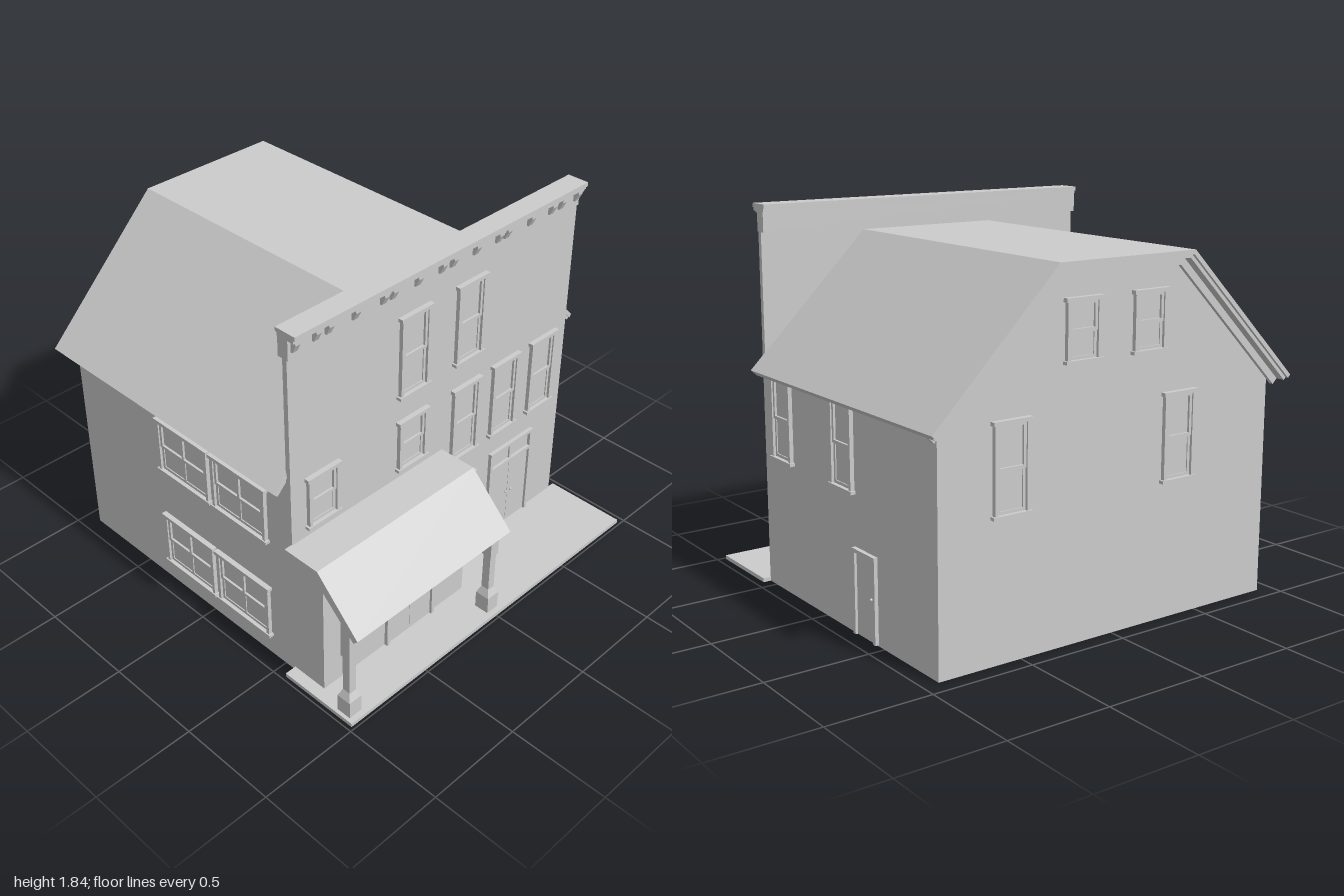
import * as THREE from 'three';

const grey = new THREE.MeshStandardMaterial({ color: 0xcccccc, flatShading: true, side: THREE.DoubleSide });

function add(parent, name, geometry) {
  const m = new THREE.Mesh(geometry, grey);
  m.name = name;
  parent.add(m);
  return m;
}

// Box given by its limits on each axis
function box(parent, name, x0, x1, y0, y1, z0, z1) {
  const g = new THREE.BoxGeometry(x1 - x0, y1 - y0, z1 - z0);
  g.translate((x0 + x1) / 2, (y0 + y1) / 2, (z0 + z1) / 2);
  return add(parent, name, g);
}

// Outline in x,y pushed from z0 to z1
function slab(parent, name, pts, z0, z1) {
  const s = new THREE.Shape(pts.map(p => new THREE.Vector2(...p)));
  const g = new THREE.ExtrudeGeometry(s, { depth: z1 - z0, bevelEnabled: false });
  return add(parent, name, g.translate(0, 0, z0));
}

// Outline in z,y pushed from x0 to x1
function bar(parent, name, pts, x0, x1) {
  const m = slab(parent, name, pts, 0, x1 - x0);
  m.geometry.rotateY(-Math.PI / 2).translate(x1, 0, 0);
  return m;
}

// Sash window: origin at the middle of the sill on the wall, facing local +z
function makeWindow(w, h, mullion) {
  const g = new THREE.Group();
  g.name = 'window';
  const a = w / 2, c = a - 0.01, e = c - 0.016, back = -0.03, mid = h / 2;
  box(g, 'windowHead', -a, a, h - 0.018, h, back, 0.026);
  box(g, 'windowSill', -a, a, 0, 0.015, back, 0.026);
  for (const s of [-1, 1]) {
    box(g, 'windowCasing', Math.min(s * c, s * e), Math.max(s * c, s * e), 0.015, h - 0.018, back, 0.02);
  }
  // upper sash stands in front of the lower one
  for (const [y0, y1, d] of [[mid - 0.008, h - 0.018, 0.013], [0.015, mid, 0.007]]) {
    box(g, 'sashRail', -e, e, y0, y0 + 0.014, back + 0.005, d);
    box(g, 'sashRail', -e, e, y1 - 0.014, y1, back + 0.005, d);
    box(g, 'sashStile', -e, -e + 0.014, y0, y1, back + 0.005, d);
    box(g, 'sashStile', e - 0.014, e, y0, y1, back + 0.005, d);
    if (mullion) box(g, 'mullion', -0.006, 0.006, y0, y1, back + 0.005, d);
  }
  box(g, 'glass', -e, e, 0.015, h - 0.018, back + 0.01, 0.002);
  return g;
}

// Door: origin at the middle of the threshold, facing local +z
function makeDoor(w, h, knobs, leaves, transomTop) {
  const g = new THREE.Group();
  g.name = 'door';
  const a = w / 2, t = 0.018, top = transomTop || h;
  box(g, 'doorCasing', -a, -a + t, 0, top, -0.03, 0.018);
  box(g, 'doorCasing', a - t, a, 0, top, -0.03, 0.018);
  box(g, 'doorHead', -a, a, top - t, top, -0.03, 0.02);
  if (transomTop) {
    box(g, 'transomBar', -a, a, h - t, h, -0.03, 0.018);
    box(g, 'transomMullion', -0.008, 0.008, h, top - t, -0.03, 0.01);
    box(g, 'transomGlass', -a + t, a - t, h, top - t, -0.02, 0.002);
  }
  const lw = (w - 2 * t) / leaves;
  for (let i = 0; i < leaves; i++) {
    const x = -a + t + i * lw;
    box(g, 'doorLeaf', x + 0.001, x + lw - 0.001, 0, h - t, -0.025, 0.006);
  }
  for (const x of knobs) {
    const k = add(g, 'doorKnob', new THREE.SphereGeometry(0.007, 8, 6));
    k.position.set(x, 0.2, 0.014);
  }
  return g;
}

function place(parent, item, x, y, z, turn = 0) {
  item.position.set(x, y, z);
  item.rotation.y = turn;
  parent.add(item);
}

// Gambrel band between two depths below the roof surface
function roofBand(t0, t1) {
  const k = Math.tan(Math.PI / 8), r = Math.SQRT1_2;
  const side = t => [[0.995 - r * t, 1.065 - r * t], [0.37 - k * t, 1.69 - t]];
  const mirror = pts => pts.map(([x, y]) => [-x, y]).reverse();
  const outer = [...side(t0), ...mirror(side(t0))];
  const inner = [...side(t1), ...mirror(side(t1))];
  return [...outer, ...inner.reverse()];
}

function makePost(x) {
  const g = new THREE.Group();
  g.name = 'porchPost';
  box(g, 'postBase', -0.036, 0.036, 0.02, 0.11, -0.038, 0.038);
  const taper = new THREE.CylinderGeometry(0.02 * Math.SQRT2, 0.037 * Math.SQRT2, 0.04, 4);
  add(g, 'postTaper', taper.rotateY(Math.PI / 4).translate(0, 0.13, 0));
  box(g, 'postShaft', -0.02, 0.02, 0.14, 0.36, -0.021, 0.021);
  box(g, 'postHead', -0.026, 0.026, 0.355, 0.55, -0.027, 0.027);
  g.position.set(x, 0, 0.918);
  return g;
}

export function createModel() {
  const model = new THREE.Group();
  model.name = 'storefrontBuilding';

  // Hollow shell, open at the bottom
  slab(model, 'backWall', [[-0.92, 0], [0.92, 0], [0.92, 1.11], [0.36, 1.67], [-0.36, 1.67], [-0.92, 1.11]], -0.92, -0.9);
  box(model, 'rightWall', -0.92, -0.9, 0, 1.11, -0.9, 0.545);
  box(model, 'leftWall', 0.9, 0.92, 0, 1.11, -0.9, 0.545);
  // Tall false front, cut away behind the shop bay
  slab(model, 'falseFront', [[-0.92, 0], [-0.9, 0], [-0.9, 0.69], [-0.01, 0.69], [-0.01, 0], [0.92, 0], [0.92, 1.75], [-0.92, 1.75]], 0.54, 0.565);

  // Roof with a trim board under its overhang
  slab(model, 'roof', roofBand(0, 0.02), -1, 0.545);
  slab(model, 'roofTrim', roofBand(0.02, 0.036), -0.985, 0.54);
  slab(model, 'gableBoard', roofBand(0.036, 0.07), -0.94, -0.918);

  // Cornice with brackets
  box(model, 'frieze', -0.92, 0.92, 1.71, 1.81, 0.515, 0.573);
  box(model, 'corniceMoulding', -0.92, 0.92, 1.805, 1.822, 0.512, 0.607);
  box(model, 'corniceTop', -0.92, 0.92, 1.82, 1.84, 0.503, 0.615);
  const brackets = [-0.89, -0.775, -0.705, -0.555, -0.39, -0.335, -0.185, -0.035];
  for (const x of brackets) for (const s of [-1, 1]) {
    const c = s * x;
    bar(model, 'corniceBracket', [[0.57, 1.745], [0.582, 1.745], [0.602, 1.785], [0.602, 1.806], [0.57, 1.806]], c - 0.014, c + 0.014);
    box(model, 'bracketCap', c - 0.02, c + 0.02, 1.795, 1.806, 0.57, 0.605);
  }

  // Boardwalk, shop bay, canopy and posts
  box(model, 'boardwalk', -0.98, 0.96, 0, 0.02, 0.562, 0.985);
  box(model, 'bayFront', -0.92, 0.01, 0.02, 0.71, 0.735, 0.752);
  box(model, 'baySide', -0.92, -0.903, 0.02, 0.71, 0.56, 0.74);
  box(model, 'baySide', -0.007, 0.01, 0.02, 0.71, 0.56, 0.74);
  bar(model, 'canopy', [[0.56, 0.755], [0.76, 0.755], [1, 0.515], [0.982, 0.497], [0.975, 0.49], [0.742, 0.705], [0.56, 0.705]], -0.96, 0.035);
  for (const x of [-0.926, 0]) model.add(makePost(x));

  // Front windows: x centre, sill height, height
  const front = [[-0.74, 0.8, 0.275], [-0.183, 0.8, 0.275], [-0.183, 1.2, 0.42], [0.18, 1.2, 0.42],
    [0.18, 0.65, 0.415], [0.46, 0.65, 0.415], [0.74, 0.65, 0.415], [0.18, 0.09, 0.42]];
  for (const [x, y, h] of front) place(model, makeWindow(0.2, h), x, y, 0.565);

  // Back windows
  for (const [x, y, h] of [[0.56, 0.645, 0.415], [-0.365, 0.645, 0.415], [0.19, 1.25, 0.28], [-0.18, 1.25, 0.28]]) {
    place(model, makeWindow(0.2, h), x, y, -0.92, Math.PI);
  }

  // Side windows: single tall ones on +x, wide pairs on -x
  for (const z of [0.375, -0.18]) place(model, makeWindow(0.2, 0.415), 0.92, 0.645, z, Math.PI / 2);
  for (const y of [0.115, 0.68]) for (const z of [-0.145, 0.235]) {
    place(model, makeWindow(0.37, 0.3, true), -0.92, y, z, -Math.PI / 2);
  }

  // Doors
  place(model, makeDoor(0.32, 0.41, [-0.018, 0.018], 2), -0.37, 0.02, 0.752);
  place(model, makeDoor(0.32, 0.41, [-0.018, 0.018], 2, 0.51), 0.55, 0.02, 0.565);
  place(model, makeDoor(0.185, 0.4, [0.057], 1), 0.92, 0.005, -0.36, Math.PI / 2);

  return model;
}
